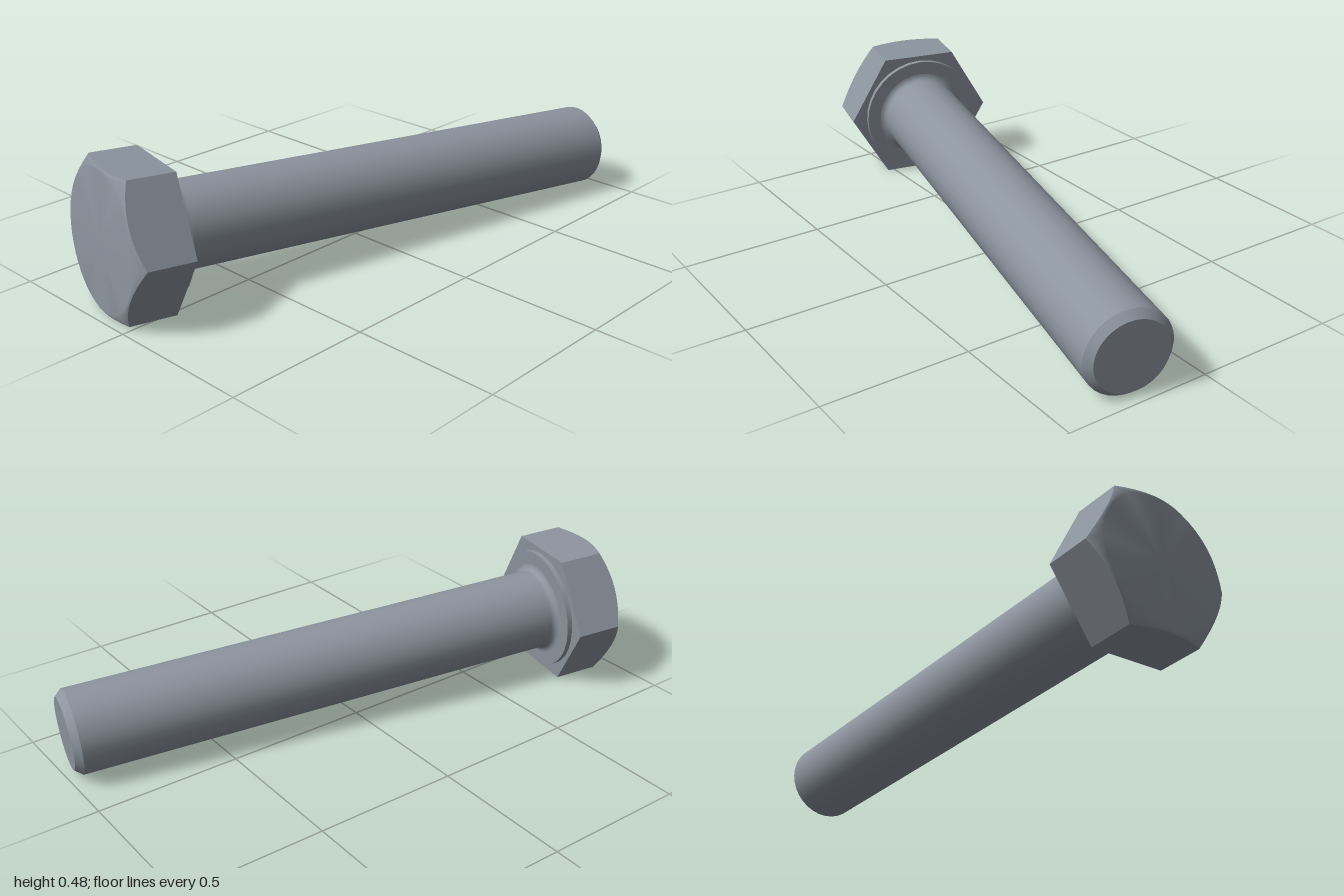
import * as THREE from 'three';

const SEG = 32;             // sides of the round parts
const FLAT = 0.235;         // half the width across the head's flats
const CORNER = FLAT / Math.cos(Math.PI / 6);
const WASHER = 0.018;       // thickness of the washer face
const TIP = 1.79;           // length from under the head to the tip

// Depth of the head at a radius: a cone cut that trims the corners
const headDepth = (r) => 0.185 - (r - FLAT) * 0.7;

// Points [y, z] around the hexagon, several along each side
function hexOutline(perSide) {
  const pts = [];
  for (let i = 0; i < 6; i++) {
    const a = (i * Math.PI) / 3, b = ((i + 1) * Math.PI) / 3;
    for (let k = 0; k < perSide; k++) {
      const t = k / perSide;
      pts.push([
        CORNER * THREE.MathUtils.lerp(Math.sin(a), Math.sin(b), t),
        CORNER * THREE.MathUtils.lerp(Math.cos(a), Math.cos(b), t),
      ]);
    }
  }
  return pts;
}

function geometryFrom(positions, index) {
  const g = new THREE.BufferGeometry();
  g.setAttribute('position', new THREE.Float32BufferAttribute(positions, 3));
  if (index) g.setIndex(index);
  g.computeVertexNormals();
  return g;
}

// Six flat sides with arched rear edges, and the flat underside
function headSides(outline) {
  const p = [];
  const n = outline.length;
  for (let i = 0; i < n; i++) {
    const [y0, z0] = outline[i], [y1, z1] = outline[(i + 1) % n];
    const a = [0, y0, z0], b = [0, y1, z1];
    const c = [-headDepth(Math.hypot(y1, z1)), y1, z1];
    const d = [-headDepth(Math.hypot(y0, z0)), y0, z0];
    p.push(...a, ...b, ...c, ...a, ...c, ...d);
    p.push(0, 0, 0, ...b, ...a);
  }
  return geometryFrom(p);
}

// Smooth rear cap: centre, inner ring, trimmed rim
function headCap(outline) {
  const n = outline.length;
  const p = [-0.19, 0, 0], index = [];
  for (const [y, z] of outline) {
    const s = 0.228 / Math.hypot(y, z);
    p.push(-0.189, y * s, z * s);
  }
  for (const [y, z] of outline) p.push(-headDepth(Math.hypot(y, z)), y, z);
  for (let i = 0; i < n; i++) {
    const j = (i + 1) % n;
    const a = 1 + i, b = 1 + j, c = 1 + n + i, d = 1 + n + j;
    index.push(0, a, b, a, c, d, a, d, b);
  }
  return geometryFrom(p, index);
}

// Turned part along +x from [radius, distance] points
function turned(points) {
  const g = new THREE.LatheGeometry(points.map(([r, t]) => new THREE.Vector2(r, t)), SEG);
  return g.rotateZ(-Math.PI / 2);
}

export function createModel() {
  const model = new THREE.Group();
  model.name = 'hexBolt';
  const bolt = new THREE.Group();
  bolt.name = 'bolt';
  model.add(bolt);

  const steel = new THREE.MeshStandardMaterial({ color: 0x8c949e });
  steel.name = 'steel grey';
  const add = (name, geometry) => {
    const m = new THREE.Mesh(geometry, steel);
    m.name = name;
    bolt.add(m);
  };

  // Head
  const outline = hexOutline(8);
  add('headSides', headSides(outline));
  add('headCap', headCap(outline));

  // Raised washer face under the head
  add('washerRim', turned([[0.217, 0], [0.217, WASHER]]));
  add('washerFace', turned([[0.217, WASHER], [0.168, WASHER]]));

  // Shank with a small fillet where it meets the washer face
  const R = 0.145, F = 0.023, profile = [];
  for (let i = 0; i <= 5; i++) {
    const a = (i / 5) * Math.PI / 2;
    profile.push([R + F - F * Math.sin(a), WASHER + F - F * Math.cos(a)]);
  }
  profile.push([R, TIP - 0.025]);
  add('shank', turned(profile));

  // Chamfered tip
  add('tipChamfer', turned([[R, TIP - 0.025], [0.1225, TIP]]));
  add('tipFace', turned([[0.1225, TIP], [0, TIP]]));

  // Lay the bolt at rest on its head's edge and its tip
  const axis = new THREE.Vector3(0.977, -0.0505, 0.207).normalize();
  const side = new THREE.Vector3(-axis.z, 0, axis.x).normalize();
  const up = new THREE.Vector3().crossVectors(side, axis);
  bolt.quaternion.setFromRotationMatrix(new THREE.Matrix4().makeBasis(axis, up, side));
  bolt.position.set(-0.7725, 0.2355, -0.1065);
  return model;
}
